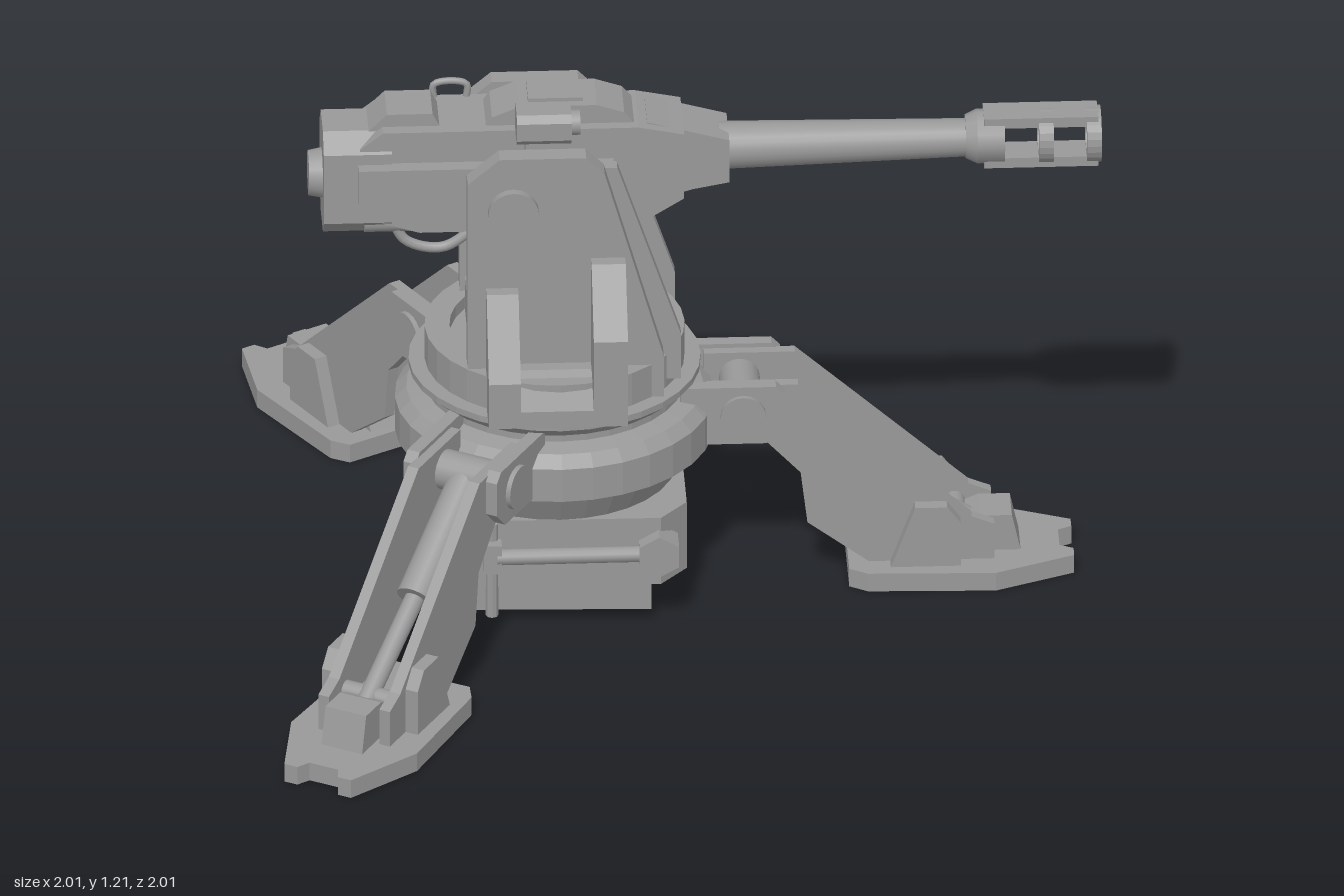
import * as THREE from 'three';

const smooth = new THREE.MeshStandardMaterial({ color: 0x999999 });
const flat = new THREE.MeshStandardMaterial({ color: 0x999999, flatShading: true });

function add(parent, name, geo, mat = flat) {
  const m = new THREE.Mesh(geo, mat);
  m.name = name;
  parent.add(m);
  return m;
}

// Box given by centre and size
function box(parent, name, x, y, z, w, h, d) {
  return add(parent, name, new THREE.BoxGeometry(w, h, d).translate(x, y, z));
}

function shapeOf(pts) {
  return new THREE.Shape(pts.map(([a, b]) => new THREE.Vector2(a, b)));
}

// Side outline in (x, y), spanning z0..z1
function side(parent, name, pts, z0, z1) {
  const g = new THREE.ExtrudeGeometry(shapeOf(pts), { depth: z1 - z0, bevelEnabled: false });
  return add(parent, name, g.translate(0, 0, z0));
}

// Plan outline in (x, z), spanning y0..y1
function plan(parent, name, pts, y0, y1) {
  const g = new THREE.ExtrudeGeometry(shapeOf(pts.map(([x, z]) => [x, -z])), { depth: y1 - y0, bevelEnabled: false });
  return add(parent, name, g.rotateX(-Math.PI / 2).translate(0, y0, 0));
}

// End outline in (z, y), spanning x0..x1
function section(parent, name, pts, x0, x1) {
  const g = new THREE.ExtrudeGeometry(shapeOf(pts.map(([z, y]) => [-z, y])), { depth: x1 - x0, bevelEnabled: false });
  return add(parent, name, g.rotateY(Math.PI / 2).translate(x0, 0, 0));
}

// Cylinder or cone between two points
function rod(parent, name, a, b, r0, r1 = r0, sides = 20) {
  const A = new THREE.Vector3(...a), B = new THREE.Vector3(...b), dir = B.clone().sub(A);
  const m = add(parent, name, new THREE.CylinderGeometry(r1, r0, dir.length(), sides), sides > 8 ? smooth : flat);
  m.position.copy(A).add(B).multiplyScalar(0.5);
  m.quaternion.setFromUnitVectors(new THREE.Vector3(0, 1, 0), dir.normalize());
  return m;
}

function hose(parent, name, pts, r) {
  const c = new THREE.CatmullRomCurve3(pts.map(p => new THREE.Vector3(...p)));
  return add(parent, name, new THREE.TubeGeometry(c, 20, r, 8), smooth);
}

// Rectangle with cut corners, centred at height y
function cutRect(w, h, c, y) {
  return [[-w + c, y - h], [w - c, y - h], [w, y - h + c], [w, y + h - c],
    [w - c, y + h], [-w + c, y + h], [-w, y + h - c], [-w, y - h + c]];
}

function makeLeg() {
  const leg = new THREE.Group();
  leg.name = 'leg';
  plan(leg, 'footPad', [[0.64, -0.12], [0.68, -0.145], [0.96, -0.155], [1.135, -0.082], [1.135, -0.05], [1.105, -0.035],
    [1.105, 0.035], [1.135, 0.05], [1.135, 0.082], [0.96, 0.155], [0.68, 0.145], [0.64, 0.12]], 0, 0.044);
  side(leg, 'ankleBlock', [[0.66, 0.04], [1.02, 0.04], [1.0, 0.13], [0.93, 0.13], [0.86, 0.1], [0.7, 0.1]], -0.05, 0.05);
  for (const s of [-1, 1]) {
    const span = (a, b) => (s > 0 ? [a, b] : [-b, -a]);
    side(leg, 'legPlate', [[0.33, 0.36], [0.45, 0.36], [0.535, 0.27], [0.55, 0.145], [0.69, 0.04], [0.96, 0.04],
      [0.96, 0.13], [0.91, 0.15], [0.53, 0.49], [0.33, 0.49]], ...span(0.062, 0.088));
    side(leg, 'hingeYoke', [[0.27, 0.36], [0.46, 0.36], [0.5, 0.4], [0.5, 0.48], [0.48, 0.5], [0.27, 0.5]], ...span(0.085, 0.115));
    side(leg, 'ankleLug', [[0.73, 0.04], [0.885, 0.04], [0.885, 0.15], [0.855, 0.19], [0.785, 0.19]], ...span(0.085, 0.118));
    rod(leg, 'hingeBolt', [0.408, 0.43, s * 0.1], [0.408, 0.43, s * 0.126], 0.05);
  }
  rod(leg, 'hingePin', [0.408, 0.43, -0.1], [0.408, 0.43, 0.1], 0.045);
  rod(leg, 'ramCylinder', [0.42, 0.42, 0], [0.67, 0.25, 0], 0.042);
  rod(leg, 'ramRod', [0.65, 0.263, 0], [0.91, 0.1, 0], 0.022);
  rod(leg, 'ramPin', [0.88, 0.11, -0.08], [0.88, 0.11, 0.08], 0.022);
  return leg;
}

function makeBase() {
  const base = new THREE.Group();
  base.name = 'base';
  // Lower box and wider upper box with cut front corners
  plan(base, 'lowerBox', [[-0.2, -0.24], [0.2, -0.255], [0.2, 0.255], [-0.2, 0.24]], 0.03, 0.12);
  plan(base, 'upperBox', [[-0.22, -0.265], [0.22, -0.27], [0.28, -0.2], [0.28, 0.2], [0.22, 0.27], [-0.22, 0.265]], 0.1, 0.265);
  box(base, 'rearSill', -0.235, 0.135, 0, 0.05, 0.05, 0.57);
  for (const s of [-1, 1]) {
    rod(base, 'sidePipe', [-0.14, 0.185, s * 0.285], [0.22, 0.185, s * 0.285], 0.018, 0.018, 12);
    rod(base, 'sideValve', [0.215, 0.185, s * 0.24], [0.215, 0.185, s * 0.305], 0.05, 0.05, 6);
    box(base, 'pipeBracket', -0.15, 0.185, s * 0.275, 0.04, 0.07, 0.05);
    rod(base, 'sidePost', [-0.15, 0.03, s * 0.265], [-0.15, 0.26, s * 0.265], 0.014, 0.014, 8);
  }
  // Stepped turntable
  const profile = [[0, 0.26], [0.265, 0.26], [0.315, 0.35], [0.35, 0.355], [0.35, 0.435], [0.325, 0.46], [0.285, 0.47],
    [0.285, 0.485], [0.32, 0.515], [0.32, 0.53], [0.285, 0.53], [0.285, 0.61], [0.23, 0.61], [0.23, 0.58], [0, 0.58]];
  add(base, 'turntable', new THREE.LatheGeometry(profile.map(p => new THREE.Vector2(...p)), 32));
  return base;
}

function makeCradle() {
  const cradle = new THREE.Group();
  cradle.name = 'cradle';
  for (const s of [-1, 1]) {
    const span = (a, b) => (s > 0 ? [a, b] : [-b, -a]);
    side(cradle, 'cheekPlate', [[-0.2, 0.53], [0.23, 0.53], [0.23, 0.63], [0.1, 1.09], [0.06, 1.13], [-0.13, 1.13],
      [-0.2, 1.07]], ...span(0.155, 0.2));
    side(cradle, 'cheekInnerPlate', [[-0.15, 0.55], [0.27, 0.55], [0.27, 0.66], [0.13, 1.08], [-0.15, 1.08]], ...span(0.125, 0.156));
    rod(cradle, 'trunnionBoss', [-0.1, 1.0, s * 0.1], [-0.1, 1.0, s * 0.22], 0.056);
    // Sloped outriggers on each cheek
    const rib = (x0, x1, top, bend) => section(cradle, 'cheekGusset', s > 0
      ? [[0.19, 0.53], [0.33, 0.53], [0.33, bend], [0.23, top], [0.19, top]]
      : [[-0.19, 0.53], [-0.19, top], [-0.23, top], [-0.33, bend], [-0.33, 0.53]], x0, x1);
    rib(-0.16, -0.09, 0.81, 0.64);
    rib(0.07, 0.145, 0.88, 0.74);
    rib(-0.1, 0.08, 0.62, 0.57);
    hose(cradle, 'feedHose', [[0.1, 0.99, s * 0.05], [0.12, 0.88, s * 0.055], [0.09, 0.79, s * 0.06],
      [0.02, 0.73, s * 0.06], [-0.01, 0.6, s * 0.06]], 0.022);
  }
  side(cradle, 'cradleFloor', [[-0.19, 0.57], [0.18, 0.57], [0.18, 0.66], [0.13, 0.72], [-0.1, 0.72], [-0.19, 0.66]], -0.13, 0.13);
  return cradle;
}

function makeGun() {
  const gun = new THREE.Group();
  gun.name = 'gun';
  side(gun, 'receiver', [[-0.43, 0.93], [-0.3, 0.89], [-0.02, 0.89], [0.03, 0.91], [0.2, 0.91], [0.28, 0.96], [0.28, 1.12],
    [0.18, 1.14], [-0.38, 1.14], [-0.43, 1.1]], -0.085, 0.085);
  side(gun, 'receiverNose', [[0.2, 0.94], [0.3, 0.97], [0.38, 0.985], [0.38, 1.09], [0.2, 1.14]], -0.062, 0.062);
  section(gun, 'breechBlock', cutRect(0.09, 0.125, 0.04, 1.005), -0.51, -0.36);
  rod(gun, 'breechCap', [-0.54, 1.0, 0], [-0.49, 1.0, 0], 0.05, 0.06);
  side(gun, 'topCover', [[-0.16, 1.13], [0.18, 1.13], [0.15, 1.165], [0.09, 1.185], [-0.08, 1.185], [-0.14, 1.16]], -0.06, 0.06);
  box(gun, 'coverHatch', 0, 1.187, 0, 0.12, 0.014, 0.08);
  side(gun, 'rearCover', [[-0.41, 1.13], [-0.25, 1.13], [-0.27, 1.17], [-0.37, 1.17]], -0.055, 0.055);
  for (const s of [-1, 1]) {
    box(gun, 'sideRail', -0.155, 1.02, s * 0.1, 0.56, 0.09, 0.04);
    rod(gun, 'recoilTube', [-0.42, 0.91, s * 0.05], [-0.1, 0.91, s * 0.05], 0.03);
    hose(gun, 'rearHose', [[-0.36, 0.92, s * 0.06], [-0.33, 0.86, s * 0.06], [-0.25, 0.84, s * 0.06], [-0.17, 0.89, s * 0.06]], 0.012);
  }
  // Sight and carrying loop
  section(gun, 'sight', cutRect(0.045, 0.036, 0.015, 1.174).map(([z, y]) => [z + 0.115, y]), -0.09, 0.03);
  rod(gun, 'sightLens', [0.02, 1.174, 0.115], [0.05, 1.174, 0.115], 0.028);
  box(gun, 'sightMount', -0.03, 1.125, 0.1, 0.08, 0.05, 0.05);
  hose(gun, 'topLoop', [[-0.26, 1.13, -0.08], [-0.26, 1.17, -0.08], [-0.19, 1.17, -0.08], [-0.19, 1.13, -0.08]], 0.008);
  // Barrel
  rod(gun, 'barrel', [0.36, 1.045, 0], [0.95, 1.05, 0], 0.053, 0.041, 24);
  // Slotted muzzle brake
  const brake = new THREE.Group();
  brake.name = 'muzzleBrake';
  gun.add(brake);
  rod(brake, 'brakeCollar', [0.9, 1.052, 0], [0.925, 1.052, 0], 0.048, 0.06, 12);
  rod(brake, 'brakeChamber', [0.925, 1.052, 0], [0.985, 1.052, 0], 0.06, 0.06, 12);
  for (const x of [1.06, 1.165]) {
    const ring = new THREE.Shape().absarc(0, 1.052, 0.062, 0, Math.PI * 2);
    ring.holes.push(new THREE.Path().absarc(0, 1.052, 0.036, 0, Math.PI * 2, true));
    const g = new THREE.ExtrudeGeometry(ring, { depth: 0.032, bevelEnabled: false, curveSegments: 12 });
    add(brake, 'brakeRing', g.rotateY(Math.PI / 2).translate(x, 0, 0));
  }
  for (const s of [-1, 1]) box(brake, 'brakeBar', 1.065, 1.052 + s * 0.049, 0, 0.25, 0.024, 0.075);
  return gun;
}

export function createModel() {
  const model = new THREE.Group();
  model.name = 'turret';
  const mount = new THREE.Group();
  mount.name = 'mount';
  mount.position.set(0.115, 0, 0.115);
  mount.rotation.y = -Math.PI / 4;
  model.add(mount);
  mount.add(makeBase(), makeCradle(), makeGun());
  for (let i = 0; i < 3; i++) {
    const leg = makeLeg();
    leg.rotation.y = (i * Math.PI * 2) / 3;
    mount.add(leg);
  }
  return model;
}
